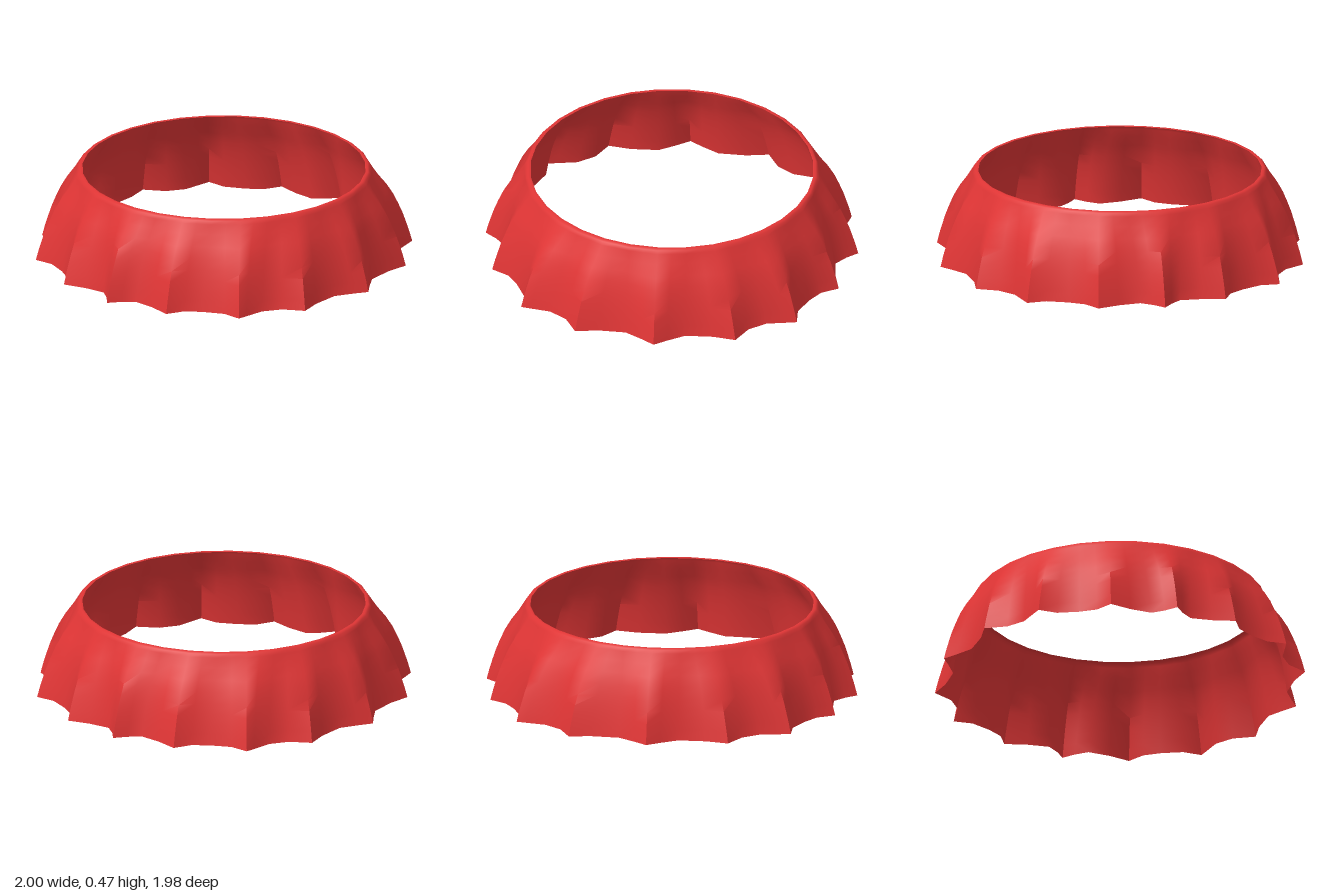
import * as THREE from 'three';
import { toCreasedNormals } from 'three/addons/utils/BufferGeometryUtils.js';

// Fluted bottom outline for one quadrant (x, z), a spike at every fourth point
const QUADRANT = [
  [1, 0], [0.94, 0.05], [0.89, 0.11], [0.9, 0.23],
  [0.93, 0.35], [0.84, 0.4], [0.785, 0.48], [0.735, 0.59],
  [0.74, 0.695], [0.69, 0.705], [0.58, 0.725], [0.49, 0.79],
  [0.43, 0.9], [0.31, 0.88], [0.16, 0.885], [0.07, 0.94], [0, 0.988],
];
const COLUMNS = 64;

// Rows from the hem to the lip: height, share of fluted outline, radius of round outline
const ROWS = [
  [0, 1, 0.78], [0.06, 0.93, 0.78], [0.11, 0.86, 0.78], [0.165, 0.78, 0.78],
  [0.22, 0.68, 0.78], [0.28, 0.56, 0.78], [0.34, 0.4, 0.78], [0.4, 0.2, 0.78],
  [0.45, 0.06, 0.78], [0.467, 0, 0.782], [0.475, 0, 0.772], [0.473, 0, 0.758],
];

// Mirror the quadrant around the ring
function flutedPoint(i) {
  const q = Math.floor(i / 16), j = i % 16;
  const [x, z] = QUADRANT[q % 2 ? 16 - j : j];
  return [q === 1 || q === 2 ? -x : x, q >= 2 ? -z : z];
}

// Round outline with 32 straight sides
function roundPoint(i) {
  const a = (i / COLUMNS) * Math.PI * 2;
  const r = i % 2 ? Math.cos(Math.PI / 32) : 1;
  return [r * Math.cos(a), r * Math.sin(a)];
}

function createSkirtGeometry() {
  const positions = [], indices = [];
  for (const [y, k, radius] of ROWS) {
    for (let i = 0; i < COLUMNS; i++) {
      const [fx, fz] = flutedPoint(i), [rx, rz] = roundPoint(i);
      positions.push(
        THREE.MathUtils.lerp(rx * radius, fx, k), y,
        THREE.MathUtils.lerp(rz * radius, fz, k));
    }
  }
  for (let r = 0; r < ROWS.length - 1; r++) {
    for (let i = 0; i < COLUMNS; i++) {
      const a = r * COLUMNS + i, b = r * COLUMNS + (i + 1) % COLUMNS;
      const c = a + COLUMNS, d = b + COLUMNS;
      indices.push(a, c, b, b, c, d);
    }
  }
  const geometry = new THREE.BufferGeometry();
  geometry.setAttribute('position', new THREE.Float32BufferAttribute(positions, 3));
  geometry.setIndex(indices);
  return toCreasedNormals(geometry, 1.0);
}

export function createModel() {
  const group = new THREE.Group();
  group.name = 'crimpedRing';
  const material = new THREE.MeshStandardMaterial({ color: 0xe03535, side: THREE.DoubleSide });
  // Thin open skirt with a small inward lip
  const skirt = new THREE.Mesh(createSkirtGeometry(), material);
  skirt.name = 'flutedSkirt';
  group.add(skirt);
  return group;
}
